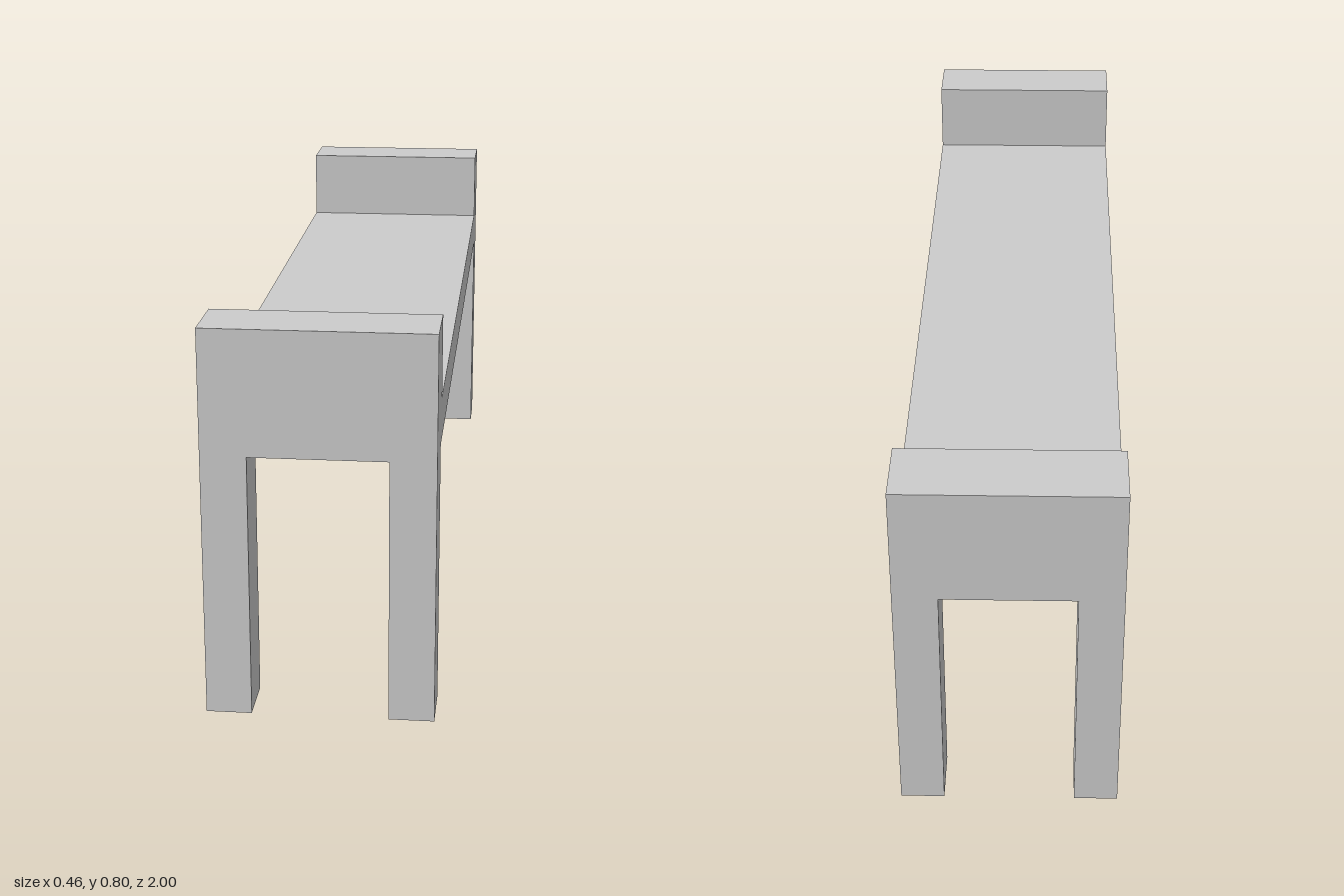
import * as THREE from 'three';

const HALF_W = 0.23, SEAT_BOTTOM = 0.547, SEAT_TOP = 0.635, TOP = 0.803;

export function createModel() {
  const bench = new THREE.Group();
  bench.name = 'bench';
  const material = new THREE.MeshStandardMaterial({ color: 0xcccccc, flatShading: true });

  // Seat with a raised block at each end: one side profile (z, y) swept across the width
  const profile = new THREE.Shape([
    [-1, SEAT_BOTTOM], [1, SEAT_BOTTOM], [1, TOP], [0.86, TOP],
    [0.86, SEAT_TOP], [-0.85, SEAT_TOP], [-0.85, TOP], [-1, TOP],
  ].map(([z, y]) => new THREE.Vector2(z, y)));
  const seatGeometry = new THREE.ExtrudeGeometry(profile, { depth: 2 * HALF_W, bevelEnabled: false });
  seatGeometry.rotateY(-Math.PI / 2).translate(HALF_W, 0, 0);
  const seat = new THREE.Mesh(seatGeometry, material);
  seat.name = 'seatWithEndRests';
  bench.add(seat);

  // Four square legs flush with the outer corners
  const legW = 0.092;
  for (const [end, sz, legD] of [['front', 1, 0.11], ['back', -1, 0.114]]) {
    for (const [side, sx] of [['Left', 1], ['Right', -1]]) {
      const leg = new THREE.Mesh(new THREE.BoxGeometry(legW, SEAT_BOTTOM, legD), material);
      leg.position.set(sx * (HALF_W - legW / 2), SEAT_BOTTOM / 2, sz * (1 - legD / 2));
      leg.name = `${end}${side}Leg`;
      bench.add(leg);
    }
  }
  return bench;
}
